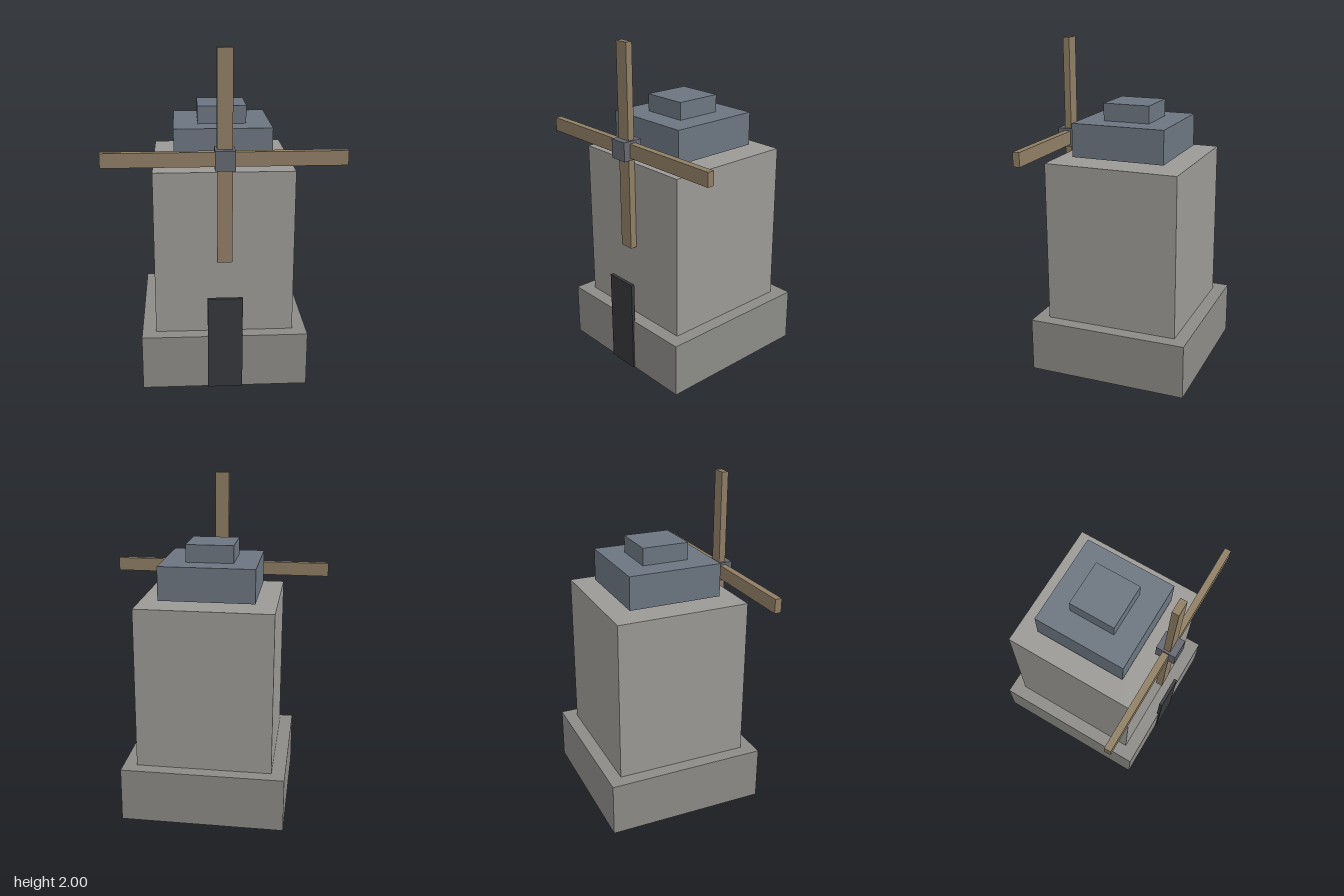
import * as THREE from 'three';

const paint = (color) => new THREE.MeshStandardMaterial({ color });

export function createModel() {
  const model = new THREE.Group();
  model.name = 'windmill';

  const stone = paint(0x8c8b87);
  const wall = paint(0x9c9a96);
  const slate = paint(0x6c7580);
  const wood = paint(0x8f7e64);
  const iron = paint(0x666872);
  const dark = paint(0x36373b);

  // Box of size w, h, d resting on height y, centred at depth z
  function block(name, w, h, d, y, z, material, parent = model) {
    const mesh = new THREE.Mesh(new THREE.BoxGeometry(w, h, d), material);
    mesh.name = name;
    mesh.position.set(0, y + h / 2, z);
    parent.add(mesh);
    return mesh;
  }

  // Square tower, stacked on one axis
  const axisZ = -0.005;
  block('base', 0.977, 0.327, 0.977, 0, axisZ, stone);
  block('tower', 0.814, 0.978, 0.814, 0.327, axisZ, wall);
  block('roof', 0.57, 0.202, 0.57, 1.327, axisZ, slate);
  block('roofCap', 0.285, 0.105, 0.285, 1.529, axisZ, slate);

  // Door slab on the front of the base
  block('door', 0.204, 0.57, 0.021, 0, 0.483, dark);

  // Sails crossing at the hub
  const sails = new THREE.Group();
  sails.name = 'sails';
  sails.position.set(0, 1.389, 0.423);
  model.add(sails);
  block('verticalSail', 0.088, 1.222, 0.041, -0.611, 0, wood, sails);
  block('horizontalSail', 1.384, 0.084, 0.041, -0.042, 0, wood, sails);
  block('hub', 0.114, 0.114, 0.122, -0.057, 0, iron, sails);

  return model;
}
